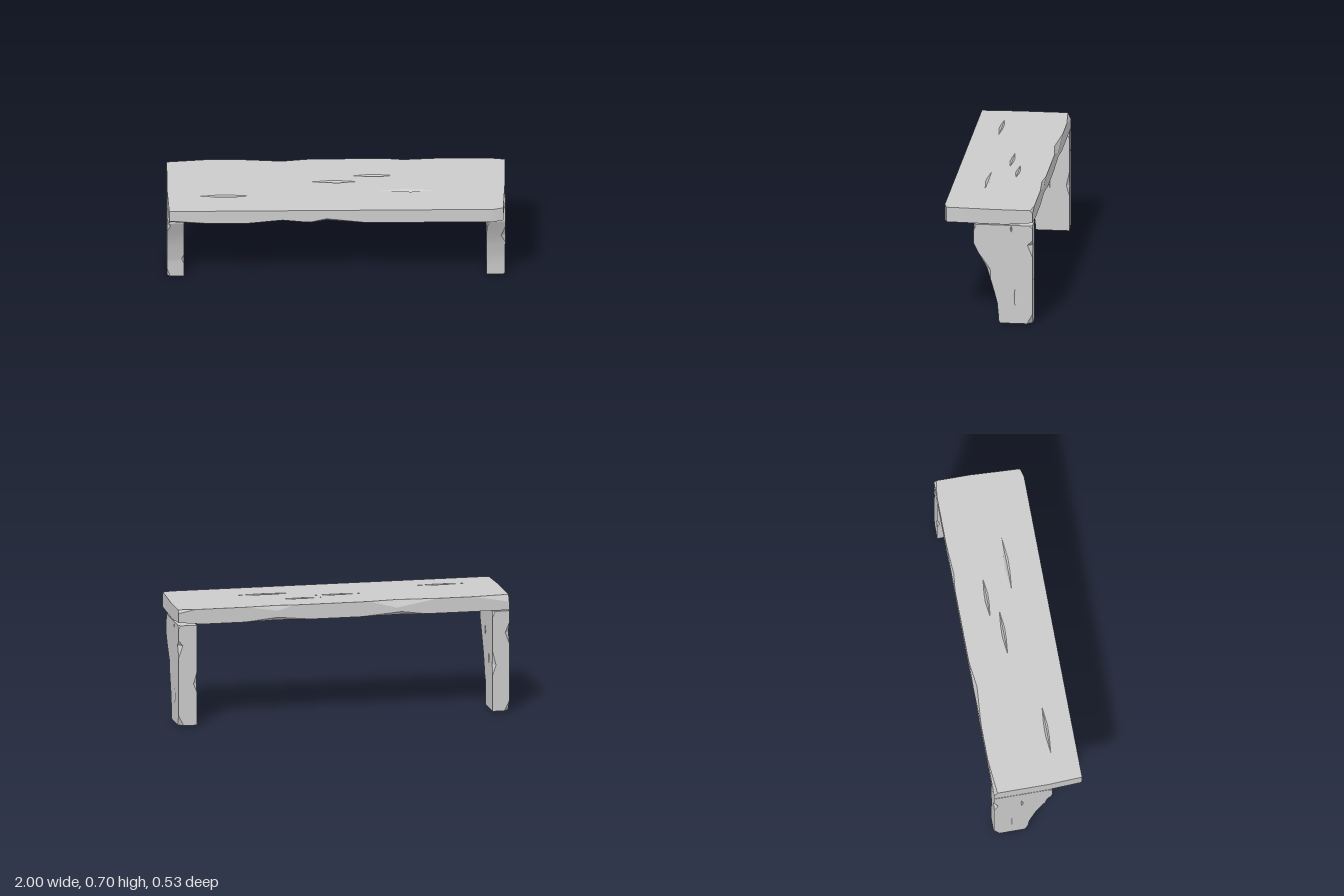
import * as THREE from 'three';
import { toCreasedNormals } from 'three/addons/utils/BufferGeometryUtils.js';

// Piecewise-linear lookup in a list of [u, value]
function lerpAt(list, u) {
  if (u <= list[0][0]) return list[0][1];
  for (let i = 1; i < list.length; i++) {
    const [a, va] = list[i - 1], [b, vb] = list[i];
    if (u <= b) return va + (vb - va) * (u - a) / (b - a);
  }
  return list[list.length - 1][1];
}

// Tent-shaped depth of a chip along the board
function tent(u, [, a, p, b]) {
  if (u < a || u > b) return 0;
  if (u === p) return 1;
  return u < p ? (u - a) / (p - a) : (b - u) / (b - p);
}

// Worn board: u runs along it, v across it, w through its thickness.
// front/back: v outlines; chips: [edge, start, peak, end, cutV, cutW], with edges
// 0 back-low, 1 front-low, 2 front-high, 3 back-high;
// cracks: [high face?, u, v, halfLength, halfWidth, depth].
function wornBoard({ front, back, w0, w1, chips, cracks, map, mirrored }) {
  const pos = [];
  const tri = (a, b, c) => {
    for (const p of mirrored ? [a, c, b] : [a, b, c]) pos.push(...map(...p));
  };
  const us = [...front, ...back].map(p => p[0]);
  chips.forEach(c => us.push(c[1], c[2], c[3]));
  const stations = [...new Set(us)].sort((a, b) => a - b);

  // Chamfered rectangular cross-section at every station
  const rings = stations.map(u => {
    const cut = [0, 1, 2, 3].map(e => {
      let cv = 0, cw = 0;
      for (const c of chips) if (c[0] === e) {
        const t = tent(u, c);
        cv = Math.max(cv, c[4] * t);
        cw = Math.max(cw, c[5] * t);
      }
      return [cv, cw];
    });
    const [A, B, C, D] = cut, v0 = lerpAt(back, u), v1 = lerpAt(front, u);
    return [
      [u, v0, w0 + A[1]], [u, v0 + A[0], w0], [u, v1 - B[0], w0], [u, v1, w0 + B[1]],
      [u, v1, w1 - C[1]], [u, v1 - C[0], w1], [u, v0 + D[0], w1], [u, v0, w1 - D[1]],
    ];
  });

  // Edges and chips
  for (let s = 0; s + 1 < rings.length; s++) {
    for (let i = 0; i < 8; i++) {
      if (i === 1 || i === 5) continue;
      const j = (i + 1) % 8, a = rings[s], b = rings[s + 1];
      tri(a[i], a[j], b[j]);
      tri(a[i], b[j], b[i]);
    }
  }
  // Ends
  const first = rings[0], last = rings[rings.length - 1];
  for (let i = 1; i < 7; i++) {
    tri(last[0], last[i], last[i + 1]);
    tri(first[0], first[i + 1], first[i]);
  }
  // Broad faces, with holes filled by V-shaped cracks
  for (const high of [true, false]) {
    const w = high ? w1 : w0;
    const faceTri = (a, b, c) => {
      const area = (b[0] - a[0]) * (c[1] - a[1]) - (b[1] - a[1]) * (c[0] - a[0]);
      if ((area > 0) === high) tri(a, b, c); else tri(a, c, b);
    };
    const [fi, bi] = high ? [5, 6] : [2, 1];
    const outline = [...rings.map(r => r[bi]), ...rings.map(r => r[fi]).reverse()];
    const holes = [];
    for (const [onHigh, u, v, l, h, d] of cracks) {
      if (onHigh !== high) continue;
      const rim = [[u - l, v, w], [u - l * 0.2, v - h, w], [u + l * 0.3, v - h * 0.8, w],
        [u + l, v, w], [u + l * 0.2, v + h, w], [u - l * 0.3, v + h * 0.8, w]];
      const pit = [u, v + h * 0.2, high ? w - d : w + d];
      rim.forEach((p, i) => faceTri(p, rim[(i + 1) % 6], pit));
      holes.push(rim);
    }
    const to2 = list => list.map(p => new THREE.Vector2(p[0], p[1]));
    const points = [outline, ...holes].flat();
    for (const [a, b, c] of THREE.ShapeUtils.triangulateShape(to2(outline), holes.map(to2))) {
      faceTri(points[a], points[b], points[c]);
    }
  }
  const geometry = new THREE.BufferGeometry();
  geometry.setAttribute('position', new THREE.Float32BufferAttribute(pos, 3));
  return toCreasedNormals(geometry, 0.3);
}

export function createModel() {
  const group = new THREE.Group();
  const material = new THREE.MeshStandardMaterial({ color: 0xcccccc });
  const add = (name, options) => {
    const mesh = new THREE.Mesh(wornBoard(options), material);
    mesh.name = name;
    group.add(mesh);
  };

  // Seat plank, with one front corner knocked off
  add('seatPlank', {
    w0: 0.61, w1: 0.7, mirrored: true,
    map: (u, v, w) => [u, w, v],
    front: [[-1, 0.06], [-0.99, 0.265], [0.93, 0.265], [0.985, 0.25], [1, -0.05]],
    back: [[-1, -0.265], [1, -0.265]],
    chips: [
      [3, -1, -1, -0.78, 0.02, 0.04], [3, -0.57, -0.32, -0.15, 0.02, 0.045],
      [3, 0.3, 0.4, 0.6, 0.012, 0.03], [3, 0.9, 1, 1, 0.015, 0.02],
      [1, -1, -0.98, -0.74, 0.02, 0.02], [1, -0.53, -0.32, -0.12, 0.045, 0.022],
      [1, -0.18, -0.06, 0.18, 0.03, 0.03],
      [0, 0.85, 1, 1, 0.16, 0.014], [0, -0.5, -0.35, -0.1, 0.02, 0.02],
      [0, 0.2, 0.4, 0.6, 0.02, 0.02],
    ],
    cracks: [
      [true, -0.66, 0.11, 0.15, 0.012, 0.012], [true, -0.01, -0.03, 0.14, 0.012, 0.012],
      [true, 0.22, -0.09, 0.12, 0.012, 0.012], [true, 0.41, 0.065, 0.17, 0.014, 0.012],
    ],
  });

  // Bracket-shaped legs, tapering towards the foot
  const legFront = [[0, -0.065], [0.06, -0.061], [0.125, -0.055], [0.19, -0.038], [0.26, -0.018],
    [0.31, 0], [0.36, 0.022], [0.42, 0.052], [0.485, 0.085], [0.605, 0.085]];
  const leg = {
    front: legFront,
    back: [[0, -0.265], [0.605, -0.265]],
    mirrored: false,
    map: (u, v, w) => [w, u, v],
  };
  add('leftLeg', {
    ...leg, w0: 0.89, w1: 1,
    chips: [
      [3, 0, 0, 0.06, 0.033, 0.03], [3, 0.41, 0.485, 0.515, 0.03, 0.025],
      [3, 0.585, 0.605, 0.605, 0.02, 0.012], [2, 0.27, 0.33, 0.43, 0.022, 0.025],
      [2, 0.565, 0.605, 0.605, 0.015, 0.01], [2, 0, 0, 0.015, 0.01, 0.012],
      [1, 0.42, 0.46, 0.52, 0.015, 0.015], [0, 0.2, 0.25, 0.32, 0.015, 0.02],
    ],
    cracks: [
      [true, 0.16, -0.16, 0.06, 0.012, 0.006], [true, 0.582, -0.138, 0.019, 0.006, 0.012],
      [false, 0.42, -0.07, 0.04, 0.01, 0.008], [false, 0.28, -0.14, 0.04, 0.01, 0.008],
    ],
  });
  add('rightLeg', {
    ...leg, w0: -1, w1: -0.9,
    chips: [
      [0, 0, 0, 0.06, 0.033, 0.03], [0, 0.41, 0.475, 0.53, 0.025, 0.025],
      [1, 0.4, 0.46, 0.52, 0.018, 0.02], [1, 0, 0, 0.06, 0.015, 0.02],
      [1, 0.58, 0.605, 0.605, 0.015, 0.012], [2, 0.1, 0.135, 0.17, 0.015, 0.014],
      [3, 0.22, 0.28, 0.36, 0.018, 0.02], [3, 0.57, 0.605, 0.605, 0.015, 0.015],
    ],
    cracks: [
      [false, 0.17, -0.16, 0.06, 0.012, 0.006], [false, 0.45, -0.1, 0.04, 0.01, 0.008],
      [true, 0.45, -0.06, 0.04, 0.01, 0.008], [true, 0.3, -0.15, 0.04, 0.01, 0.008],
    ],
  });
  return group;
}
